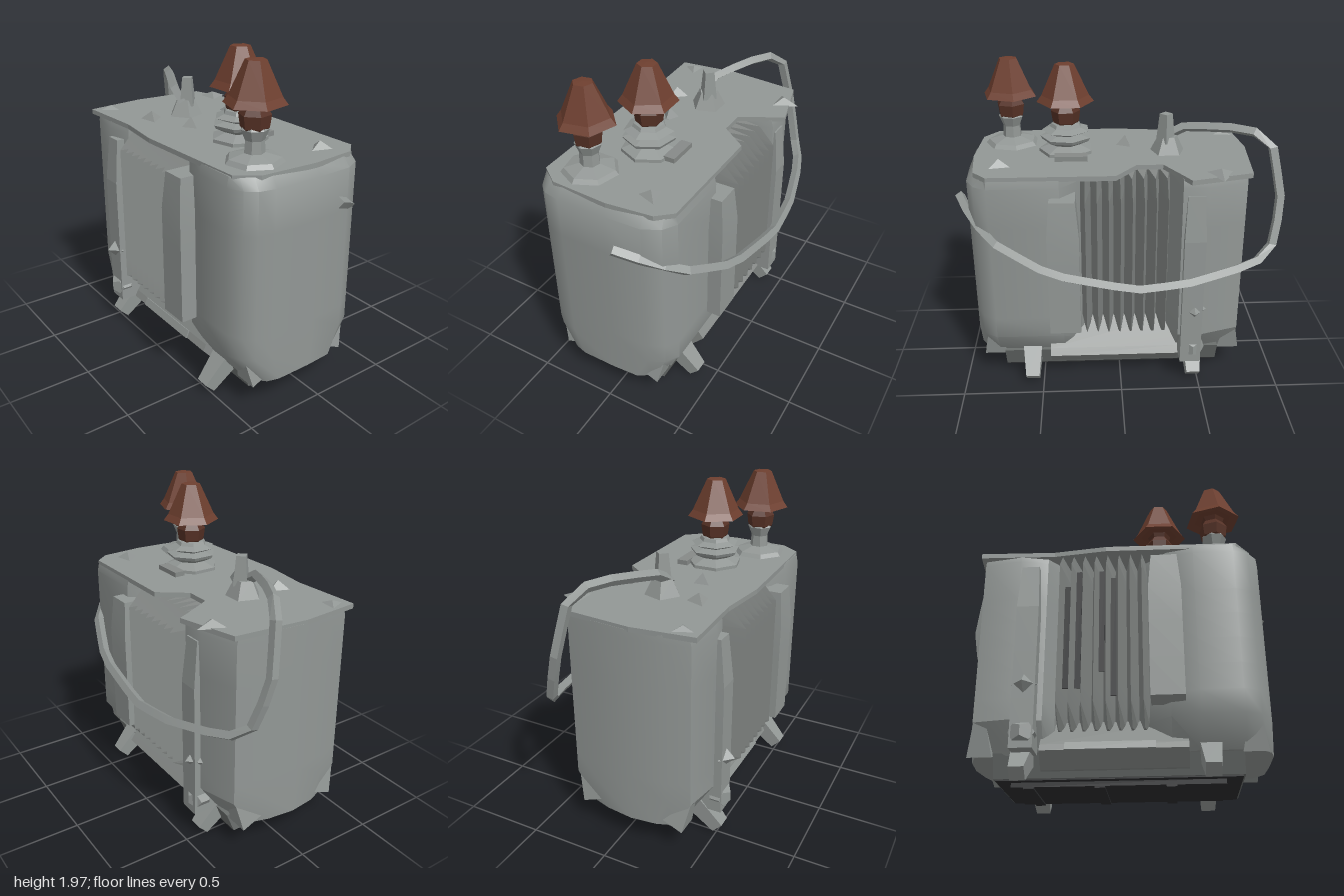
import * as THREE from 'three';
import { toCreasedNormals } from 'three/addons/utils/BufferGeometryUtils.js';

const mat = (name, color) => Object.assign(new THREE.MeshStandardMaterial({ color }), { name });

export function createModel() {
  const model = new THREE.Group();
  const steel = mat('grey steel', 0x929795);
  const finGrey = mat('fin grey', 0x868a88);
  const baseGrey = mat('base grey', 0x6c706e);
  const dark = mat('dark underside', 0x2c2d2f);
  const ceramic = mat('brown ceramic', 0x6e3f2f);
  const darkCeramic = mat('dark brown ceramic', 0x573226);

  const add = (name, geo, material, crease = 0.1) => {
    const mesh = new THREE.Mesh(toCreasedNormals(geo, crease), material);
    mesh.name = name;
    model.add(mesh);
    return mesh;
  };
  // Upright prism from an [x, z] outline; rule(p, t) reshapes it, t = 0 at the bottom
  const prism = (outline, y0, y1, steps = 1, rule) => {
    const shape = new THREE.Shape(outline.map(([x, z]) => new THREE.Vector2(x, z)));
    const geo = new THREE.ExtrudeGeometry(shape, { depth: y1 - y0, steps, bevelEnabled: false });
    geo.rotateX(Math.PI / 2).translate(0, y1, 0);
    const pos = geo.attributes.position, p = new THREE.Vector3();
    if (rule) for (let i = 0; i < pos.count; i++) {
      p.fromBufferAttribute(pos, i);
      rule(p, (p.y - y0) / (y1 - y0));
      pos.setXYZ(i, p.x, p.y, p.z);
    }
    return geo;
  };
  const box = (w, h, d, x, y, z) => new THREE.BoxGeometry(w, h, d).translate(x, y, z);

  // Tank ends: the underside is pulled in and the top edge softened
  const zMid = 0.06;
  const tankRule = (p, t) => {
    if (t < 0.01) p.z = zMid + (p.z - zMid) * 0.74;
    else if (t < 0.2) p.y = 0.34;
    if (t > 0.99) {
      p.z = zMid + (p.z - zMid) * 0.97;
      if (p.x > 0.8) p.x -= 0.05;
    } else if (t > 0.8) p.y = 1.35;
  };
  add('leftTankEnd', prism([
    [0.23, -0.24], [0.36, -0.38], [0.78, -0.38], [0.86, -0.33], [0.91, -0.23], [0.92, 0],
    [0.92, 0.3], [0.9, 0.4], [0.85, 0.46], [0.76, 0.5], [0.52, 0.5], [0.36, 0.46], [0.23, 0.34],
  ], 0.165, 1.41, 8, tankRule), steel, 0.75);
  add('rightTankEnd', prism([
    [-0.3, -0.24], [-0.36, -0.4], [-0.52, -0.4], [-0.75, -0.33], [-0.79, -0.15], [-0.81, 0.08],
    [-0.79, 0.3], [-0.75, 0.44], [-0.52, 0.48], [-0.36, 0.44], [-0.3, 0.36],
  ], 0.165, 1.4, 8, tankRule), steel, 0.5);

  // Cooling fins: one folded outline for front and back
  const n = 8, x0 = -0.305, pitch = 0.069, front = [], back = [];
  for (let i = 0; i <= n; i++) {
    const x = x0 + i * pitch;
    front.push([x, 0.3]);
    back.push([x, -0.21]);
    if (i < n) {
      front.push([x + pitch / 2, 0.55]);
      back.push([x + pitch / 2, -0.45]);
    }
  }
  add('coolingFins', prism([...back, ...front.reverse()], 0.3, 1.39, 10, (p, t) => {
    if (t < 0.01 || t > 0.99) p.z = zMid + (p.z - zMid) * (t < 0.5 ? 0.68 : 0.8);
  }), finGrey);
  [1, 2, 4, 5].forEach((i, k) =>
    add('finGap', box(0.034, 0.66 + 0.1 * (k % 2), 0.006, x0 + i * pitch, 0.86 + 0.05 * (k % 3), 0.43), dark));

  // Sloping apron under the fins, with a bright ledge
  const apron = new THREE.Shape([
    [0.36, 0.08], [0.44, 0.17], [0.42, 0.21], [0.3, 0.37], [-0.2, 0.37], [-0.33, 0.21], [-0.36, 0.17], [-0.28, 0.08],
  ].map(([z, y]) => new THREE.Vector2(-z, y)));
  add('apron', new THREE.ExtrudeGeometry(apron, { depth: 0.82, bevelEnabled: false })
    .rotateY(Math.PI / 2).translate(-0.37, 0, 0), finGrey);
  const ledge = add('apronLedge', new THREE.BoxGeometry(0.5, 0.05, 0.009), steel);
  ledge.position.set(0.02, 0.192, 0.434);
  ledge.rotation.x = -0.4;

  // Base with a dark, ribbed underside
  const baseRule = (p, t) => { if (t < 0.5) p.z = zMid + (p.z - zMid) * 0.85; };
  add('base', prism([[-0.64, -0.3], [0.75, -0.3], [0.75, 0.37], [-0.64, 0.37]], 0.045, 0.18, 1, baseRule), baseGrey);
  add('basePlate', box(1.37, 0.008, 0.56, 0.055, 0.041, 0.035), dark);
  add('skid', box(1.2, 0.03, 0.42, 0.05, 0.025, 0.06), dark);
  for (const x of [-0.45, -0.05, 0.35]) add('skidRib', box(0.06, 0.02, 0.42, x, 0.01, 0.06), dark);
  for (const x of [-0.47, 0.57]) for (const s of [1, -1]) {
    const foot = add('foot', new THREE.CylinderGeometry(0.09, 0.06, 0.24, 4).rotateY(Math.PI / 4), steel);
    foot.rotation.x = -s * 0.8;
    foot.position.set(x, 0.11, zMid + s * 0.36);
  }
  // Gusset wedges on the lower corners
  for (const [x, s] of [[-0.71, 1], [-0.71, -1], [0.81, 1], [0.81, -1]]) {
    const gusset = add('cornerGusset', new THREE.CylinderGeometry(0.05, 0.1, 0.19, 4).rotateY(Math.PI / 4), steel);
    gusset.position.set(x, 0.265, zMid + s * 0.31);
    gusset.rotation.x = s * 0.4;
  }

  // Upright pillars beside the fins
  const pillar = (x, w, z, y0, y1, lean) =>
    add('pillar', prism([[x - w / 2, z - 0.08], [x + w / 2, z - 0.08], [x + w / 2, z + 0.08], [x - w / 2, z + 0.08]],
      y0, y1, 4, (p, t) => { if (t > 0.9) { p.z -= lean; p.x = x + (p.x - x) * 0.8; } }), steel);
  pillar(0.345, 0.19, 0.5, 0.42, 1.31, 0.02);
  pillar(0.345, 0.19, -0.39, 0.42, 1.29, -0.02);
  pillar(-0.455, 0.13, 0.45, 0.16, 1.3, 0.03);
  pillar(-0.44, 0.13, -0.36, 0.16, 1.3, -0.03);
  for (const z of [0.51, -0.4]) {
    add('valve', new THREE.OctahedronGeometry(0.075).translate(-0.455, 0.53, z), steel);
    add('lowerValve', new THREE.DodecahedronGeometry(0.08).translate(-0.455, 0.25, z - Math.sign(z) * 0.02), steel);
  }

  // Lid with a notch over the rear fins
  add('lid', prism([
    [-0.77, -0.36], [-0.4, -0.46], [-0.37, -0.4], [-0.26, -0.2], [-0.1, -0.2], [0.03, -0.37], [0.78, -0.37],
    [0.86, -0.28], [0.89, 0], [0.87, 0.36], [0.78, 0.48], [0, 0.5], [-0.32, 0.46], [-0.77, 0.48], [-0.81, 0.1],
  ], 1.39, 1.42), steel);

  // Fittings on the lid
  for (const [x, z, r, h] of [[-0.33, 0.28, 0.08, 0.06], [-0.05, 0.17, 0.06, 0.07], [0.72, -0.18, 0.08, 0.05],
    [-0.58, -0.37, 0.1, 0.04], [-0.71, 0.37, 0.08, 0.03]]) {
    add('lidLug', new THREE.ConeGeometry(r, h, 3).rotateY(x * 9).translate(x, 1.415 + h / 2, z), steel);
  }
  add('hatch', box(0.2, 0.03, 0.07, 0.29, 1.435, -0.09), finGrey);
  add('strapPostFoot', new THREE.CylinderGeometry(0.06, 0.11, 0.1, 5).translate(-0.31, 1.47, 0.04), steel);
  add('strapPost', new THREE.CylinderGeometry(0.04, 0.06, 0.18, 4).translate(-0.295, 1.575, 0.03), steel);

  // Cable looping around the right end and the back
  const path = new THREE.CatmullRomCurve3([
    [-0.28, 1.5, 0.07], [-0.42, 1.575, 0.05], [-0.76, 1.61, -0.12], [-0.9, 1.56, -0.2], [-0.97, 1.2, -0.27],
    [-0.91, 0.91, -0.36], [-0.78, 0.86, -0.44], [-0.4, 0.8, -0.54], [-0.08, 0.78, -0.57], [0.42, 0.87, -0.53],
    [0.75, 1.02, -0.41], [0.89, 1.12, -0.27], [0.98, 1.2, -0.09],
  ].map((p) => new THREE.Vector3(...p)), false, 'catmullrom', 0.1);
  add('cable', new THREE.TubeGeometry(path, 24, 0.032, 4), steel);

  // Bushings: stacked grey skirts, a brown neck and a faceted cap
  const lathe = (name, points, sides, x, z, material) =>
    add(name, new THREE.LatheGeometry(points.map(([r, y]) => new THREE.Vector2(r, y)), sides)
      .rotateY(x * 5).translate(x, 0, z), material);
  const cap = [[0, 1.745], [0.12, 1.75], [0.175, 1.735], [0.145, 1.775], [0.058, 1.965], [0, 1.97]];
  const neck = [[0.05, 1.57], [0.08, 1.61], [0.09, 1.68], [0.065, 1.72], [0.08, 1.76]];
  const bushings = [
    [0.32, 0.08, [[0.17, 1.42], [0.17, 1.44], [0.09, 1.47], [0.15, 1.5], [0.16, 1.52], [0.09, 1.535],
      [0.15, 1.56], [0.1, 1.58], [0.09, 1.6], [0.05, 1.61], [0, 1.61]]],
    [0.67, 0.25, [[0.17, 1.42], [0.15, 1.445], [0.06, 1.47], [0.055, 1.54], [0.08, 1.6], [0.05, 1.64], [0, 1.64]]],
  ];
  for (const [x, z, skirt] of bushings) {
    lathe('bushingSkirt', skirt, 7, x, z, steel);
    lathe('bushingNeck', neck, 6, x, z, darkCeramic);
    lathe('bushingCap', cap, 6, x, z, ceramic);
  }
  return model;
}
